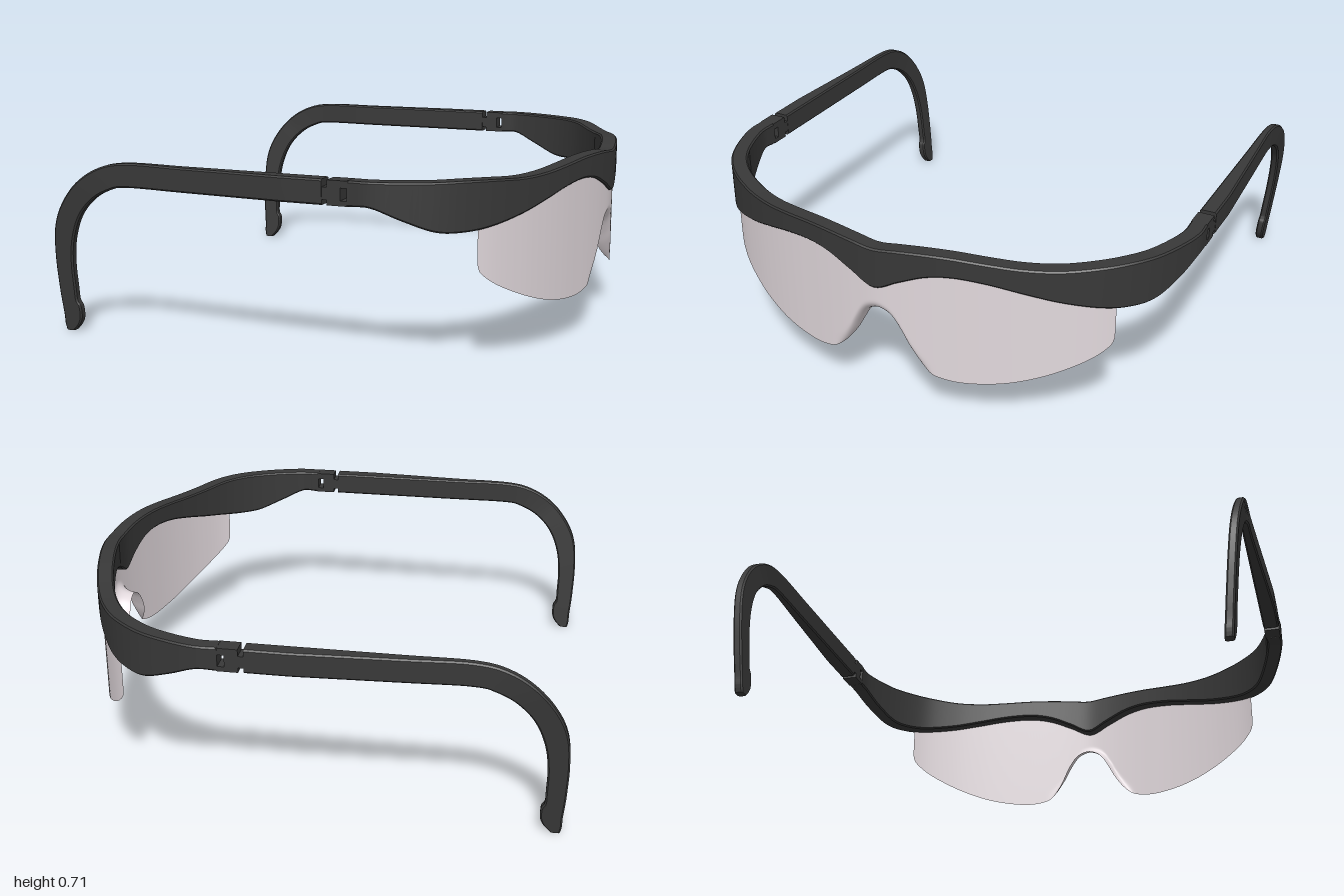
import * as THREE from 'three';
import { toCreasedNormals } from 'three/addons/utils/BufferGeometryUtils.js';

const V = (x, y, z) => new THREE.Vector3(x, y, z);
const lerp = THREE.MathUtils.lerp;

// Four corners -> eight-point ring with small chamfers
function ring(corners, r = 0.006) {
  return corners.flatMap((c, i) => [corners[(i + 3) % 4], corners[(i + 1) % 4]].map((n) => {
    const d = n.clone().sub(c);
    return c.clone().addScaledVector(d.normalize(), r);
  }));
}

// Closed solid through a list of rings, turned so that its faces point outward
function sweep(rings) {
  const n = rings[0].length, pts = rings.flat(), tris = [];
  for (let i = 0; i < rings.length - 1; i++) {
    for (let j = 0; j < n; j++) {
      const a = i * n + j, b = i * n + (j + 1) % n;
      tris.push([a, b, b + n], [a, b + n, a + n]);
    }
  }
  const last = (rings.length - 1) * n;
  for (let j = 1; j < n - 1; j++) tris.push([0, j + 1, j], [last, last + j, last + j + 1]);
  let volume = 0;
  for (const [a, b, c] of tris) volume += pts[a].dot(pts[b].clone().cross(pts[c]));
  if (volume < 0) tris.forEach((t) => t.reverse());
  const geo = new THREE.BufferGeometry().setFromPoints(pts);
  geo.setIndex(tris.flat());
  return toCreasedNormals(geo, 0.6);
}

// Brow frame, one half: outer x, outer z, top y, bottom y
const BROW = [
  [0.26, 1.0, 0.692, 0.60], [0.345, 1.0, 0.692, 0.60], [0.45, 0.972, 0.692, 0.558],
  [0.56, 0.925, 0.692, 0.517], [0.65, 0.862, 0.693, 0.513], [0.727, 0.78, 0.69, 0.526],
  [0.8, 0.66, 0.682, 0.553], [0.855, 0.54, 0.685, 0.585], [0.898, 0.42, 0.696, 0.613],
  [0.932, 0.3, 0.706, 0.625], [0.956, 0.2, 0.708, 0.613], [0.974, 0.1, 0.704, 0.575],
  [0.983, 0, 0.696, 0.533],
];

// Temple arm rails: outer x, outer y, inner x, inner y
const ARM = [
  [0.165, 0.692, 0.165, 0.60], [-0.1, 0.692, -0.1, 0.60], [-0.4, 0.692, -0.4, 0.60],
  [-0.64, 0.692, -0.64, 0.60], [-0.76, 0.667, -0.715, 0.585], [-0.86, 0.605, -0.79, 0.545],
  [-0.935, 0.515, -0.855, 0.475], [-0.975, 0.42, -0.895, 0.38], [-0.987, 0.3, -0.91, 0.28],
  [-0.985, 0.18, -0.91, 0.18], [-0.982, 0.125, -0.909, 0.13], [-0.979, 0.09, -0.897, 0.105],
  [-0.977, 0.06, -0.897, 0.06], [-0.977, 0.03, -0.91, 0.03], [-0.972, 0.002, -0.935, 0.002],
];

// Lower lens edge, one half: z, y
const LENS_EDGE = [
  [0.82, 0.42], [0.818, 0.382], [0.805, 0.352], [0.76, 0.312], [0.69, 0.272], [0.6, 0.232],
  [0.5, 0.2], [0.4, 0.182], [0.3, 0.177], [0.22, 0.193], [0.17, 0.225], [0.13, 0.275],
  [0.1, 0.33], [0.07, 0.38], [0.04, 0.408], [0, 0.42],
];

const spline = (pts) => new THREE.CatmullRomCurve3(pts, false, 'catmullrom', 0.5);

function browSamples(count) {
  const full = [...BROW, ...BROW.slice(0, -1).reverse().map(([x, z, t, b]) => [x, -z, t, b])];
  const top = spline(full.map(([x, z, t]) => V(x, t, z)));
  const bottom = spline(full.map(([x, z, , b]) => V(x, b, z)));
  return Array.from({ length: count + 1 }, (_, i) => {
    const p = top.getPoint(i / count), d = top.getTangent(i / count);
    const inward = V(d.z, 0, -d.x).normalize();
    return { p, inward, bottom: bottom.getPoint(i / count).y };
  });
}

function browGeometry() {
  return sweep(browSamples(144).map(({ p, inward, bottom }) => {
    const q = p.clone().addScaledVector(inward, 0.065);
    return ring([p, q, V(q.x, bottom, q.z), V(p.x, bottom, p.z)]);
  }));
}

function armGeometry(side) {
  const outer = spline(ARM.map(([x, y]) => V(x, y, 0)));
  const inner = spline(ARM.map(([, , x, y]) => V(x, y, 0)));
  const place = (p, out) => {
    const taper = THREE.MathUtils.clamp(-p.x / 0.6, 0, 1);
    const z = 0.935 - 0.1 * Math.max(0, 0.6 - p.y) + (out ? lerp(0.065, 0.033, taper) : 0);
    return V(p.x, p.y, side * z);
  };
  const rings = [];
  for (let i = 0; i <= 84; i++) {
    const a = outer.getPoint(i / 84), b = inner.getPoint(i / 84);
    rings.push(ring([place(a, true), place(a, false), place(b, false), place(b, true)]));
  }
  return sweep(rings);
}

// Curved shield following the brow, curling back along the nose notch
function lensGeometry() {
  const path = browSamples(960).map(({ p, inward, bottom }) => {
    const q = p.clone().addScaledVector(inward, 0.012);
    return { x: q.x, z: q.z, bottom };
  });
  const at = (z) => {
    let i = 0;
    while (i < path.length - 2 && path[i + 1].z > z) i++;
    const a = path[i], b = path[i + 1], k = (a.z - z) / (a.z - b.z);
    return { x: lerp(a.x, b.x, k), bottom: lerp(a.bottom, b.bottom, k) };
  };
  const edge = spline([...LENS_EDGE, ...LENS_EDGE.slice(0, -1).reverse().map(([z, y]) => [-z, y])]
    .map(([z, y]) => V(0, y, z)));
  const cols = 180, rows = 20, pos = [], index = [];
  for (let i = 0; i <= cols; i++) {
    const e = edge.getPoint(i / cols), { x, bottom } = at(e.z);
    const depth = 0.07 * (1 - THREE.MathUtils.smoothstep(Math.abs(e.z), 0.09, 0.22));
    for (let j = 0; j <= rows; j++) {
      const y = lerp(e.y, bottom + 0.03, (j / rows) ** 2);
      const k = Math.max(0, 1 - (y - e.y) / 0.05);
      pos.push(x - depth * (1 - Math.sqrt(1 - k * k)), y, e.z);
      if (i < cols && j < rows) {
        const a = i * (rows + 1) + j, b = a + rows + 1;
        index.push(a, b, b + 1, a, b + 1, a + 1);
      }
    }
  }
  const geo = new THREE.BufferGeometry();
  geo.setAttribute('position', new THREE.Float32BufferAttribute(pos, 3));
  geo.setIndex(index);
  geo.computeVertexNormals();
  return geo;
}

export function createModel() {
  const frameBlack = new THREE.MeshStandardMaterial({ color: 0x383838 });
  frameBlack.name = 'frame black';
  const lensGrey = new THREE.MeshStandardMaterial({ color: 0xe2d9dd, side: THREE.DoubleSide });
  lensGrey.name = 'lens grey';

  const model = new THREE.Group();
  model.name = 'safetyGlasses';
  const add = (parent, name, geo, mat) => {
    const mesh = new THREE.Mesh(geo, mat);
    mesh.name = name;
    parent.add(mesh);
  };

  add(model, 'browFrame', browGeometry(), frameBlack);
  add(model, 'lens', lensGeometry(), lensGrey);

  for (const side of [1, -1]) {
    const temple = new THREE.Group();
    temple.name = side > 0 ? 'leftTemple' : 'rightTemple';
    add(temple, 'arm', armGeometry(side), frameBlack);
    // Hinge: two prongs on the frame hold a tongue on the arm
    const block = (name, x0, x1, y0, y1) => {
      const geo = new THREE.BoxGeometry(x1 - x0, y1 - y0, 0.063);
      geo.translate((x0 + x1) / 2, (y0 + y1) / 2, side * 0.9675);
      add(temple, name, geo, frameBlack);
    };
    block('upperHingeProng', 0.185, 0.265, 0.665, 0.691);
    block('lowerHingeProng', 0.185, 0.265, 0.601, 0.62);
    block('hingeTongue', 0.16, 0.235, 0.62, 0.665);
    model.add(temple);
  }
  return model;
}
